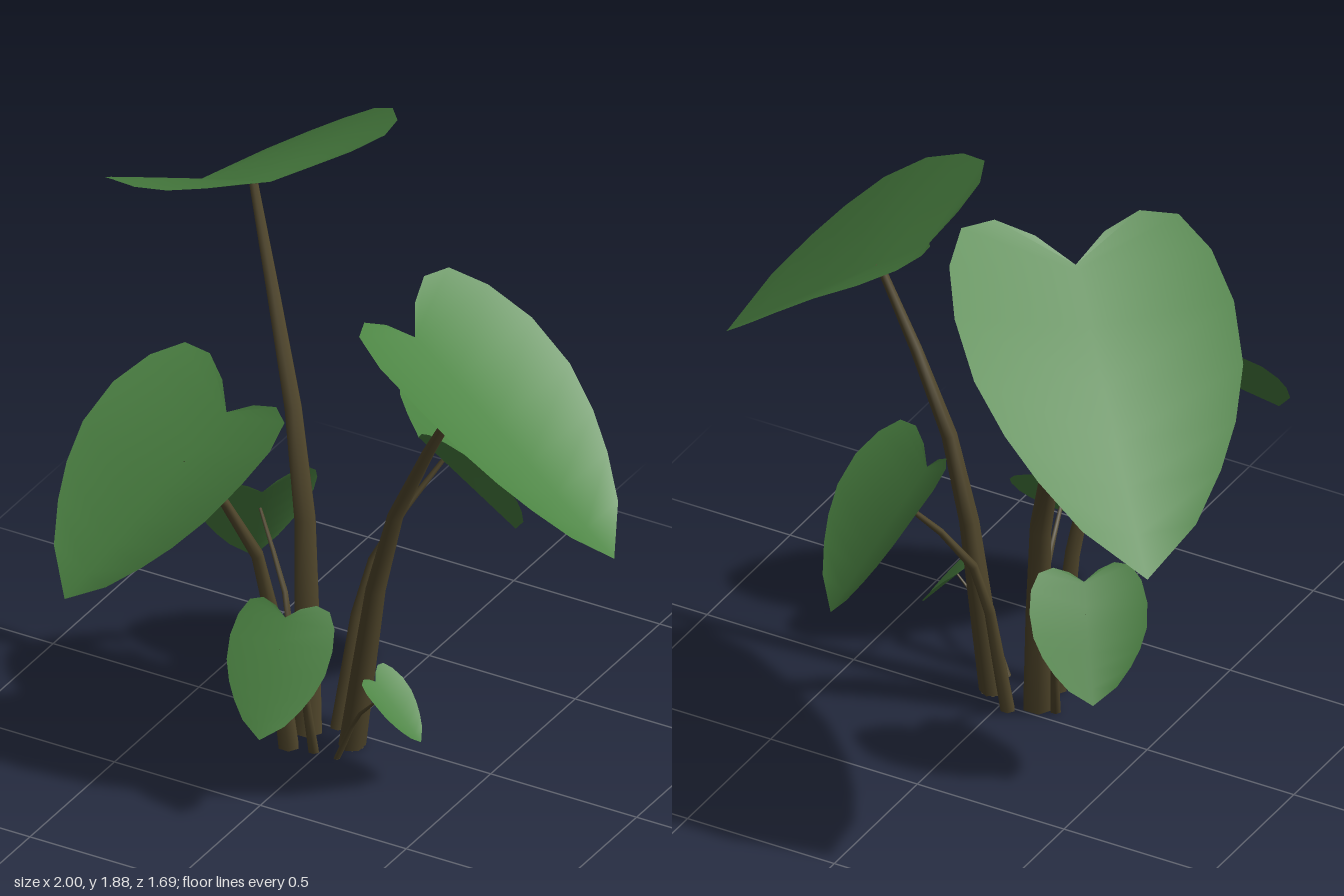
import * as THREE from 'three';

// Half outline of a heart leaf as [across, along]: notch at along 0, tip at 1
const HALF = [
  [0, 0], [0.1, -0.09], [0.21, -0.14], [0.315, -0.11], [0.38, 0.02], [0.405, 0.2],
  [0.39, 0.4], [0.335, 0.57], [0.265, 0.71], [0.165, 0.86], [0, 1],
];
const ATTACH = 0.25; // where the stem meets the midrib
const DROOP = 0.28; // how far the back lobes sag

const vec = (p) => new THREE.Vector3(...p);

// Folded heart leaf: two halves joined along a shared midrib.
// fold lifts both halves, roll tilts the leaf about its midrib (degrees).
function leafGeometry(notch, axis, fold, roll, width) {
  const across = new THREE.Vector3(-axis.z, 0, axis.x).normalize();
  const normal = across.clone().cross(axis).normalize();
  const size = axis.length();
  const rib = (v) => notch.clone().addScaledVector(axis, v);
  const positions = [];
  const index = [];
  const n = HALF.length;

  // Midrib row
  HALF.forEach(([, v]) => positions.push(...rib(Math.max(0, v)).toArray()));

  // Outline row of each half, skinned to the midrib
  for (const side of [1, -1]) {
    const slope = Math.tan(THREE.MathUtils.degToRad(fold + side * roll));
    const start = positions.length / 3;
    HALF.forEach(([u, v]) => {
      const lift = slope - DROOP * Math.max(0, ATTACH - v);
      const p = rib(v)
        .addScaledVector(across, side * u * size * width)
        .addScaledVector(normal, lift * u * size * width);
      positions.push(...p.toArray());
    });
    for (let i = 0; i < n - 1; i++) {
      const p = i, q = i + 1, s = start + i, t = start + i + 1;
      const tris = [];
      if (HALF[i + 1][1] > 0) tris.push([p, s, q]);
      if (i < n - 2) tris.push([q, s, t]);
      tris.forEach(([x, y, z]) => index.push(...(side > 0 ? [x, y, z] : [x, z, y])));
    }
  }

  const geo = new THREE.BufferGeometry();
  geo.setAttribute('position', new THREE.Float32BufferAttribute(positions, 3));
  geo.setIndex(index);
  geo.computeVertexNormals();
  return geo;
}

// Tapered six-sided stem that stands flat on the ground
function stemGeometry(points, radius) {
  const curve = new THREE.CatmullRomCurve3(points);
  const rings = 5;
  const sides = 6;
  const geo = new THREE.TubeGeometry(curve, rings, radius, sides, false);
  const pos = geo.attributes.position;
  const p = new THREE.Vector3();
  for (let i = 0; i <= rings; i++) {
    const centre = curve.getPointAt(i / rings);
    const taper = THREE.MathUtils.lerp(1, 0.3, i / rings);
    for (let j = 0; j <= sides; j++) {
      const k = i * (sides + 1) + j;
      p.fromBufferAttribute(pos, k).sub(centre).multiplyScalar(taper).add(centre);
      pos.setXYZ(k, p.x, i === 0 ? 0 : p.y, p.z);
    }
  }
  return geo;
}

export function createModel() {
  const model = new THREE.Group();
  model.name = 'leafyPlant';

  const leafGreen = new THREE.MeshStandardMaterial({ color: 0x4c8443, side: THREE.DoubleSide });
  leafGreen.name = 'leafGreen';
  const stemBrown = new THREE.MeshStandardMaterial({ color: 0x50462b, side: THREE.DoubleSide });
  stemBrown.name = 'stemBrown';

  // One leaf on its stem: stem thickness follows the leaf length
  function addShoot(name, { notch, tip, fold, roll, width = 1, base, bend }) {
    const shoot = new THREE.Group();
    shoot.name = name + 'Shoot';
    const start = vec(notch);
    const axis = vec(tip).sub(start);
    const radius = 0.047 * axis.length();
    const foot = new THREE.Vector3(base[0], 0, base[1]);
    const top = start.clone().addScaledVector(axis, ATTACH);

    const leaf = new THREE.Mesh(leafGeometry(start, axis, fold, roll, width), leafGreen);
    leaf.name = name + 'Leaf';

    const stem = new THREE.Mesh(stemGeometry([foot, vec(bend), top], radius), stemBrown);
    stem.name = name + 'Stem';

    // Closed underside of the stem
    const cap = new THREE.Mesh(new THREE.CircleGeometry(radius * 0.95, 6), stemBrown);
    cap.name = name + 'StemFoot';
    cap.rotation.x = Math.PI / 2;
    cap.position.copy(foot);

    shoot.add(leaf, stem, cap);
    model.add(shoot);
  }

  addShoot('backLeftLarge', {
    notch: [-0.33, 1.73, -0.13], tip: [-0.96, 1.2, -0.81], fold: 15, roll: 7,
    base: [-0.1, 0.05], bend: [-0.17, 0.8, -0.04],
  });
  addShoot('rightLarge', {
    notch: [0.29, 1.49, 0.085], tip: [0.99, 0.95, 0.115], fold: 17.5, roll: 7, width: 1.02,
    base: [0.06, 0.06], bend: [0.2, 0.8, 0.07],
  });
  addShoot('frontLeftMedium', {
    notch: [-0.22, 1.2, 0.32], tip: [-0.48, 0.74, 0.83], fold: 18, roll: 8, width: 1.02,
    base: [-0.1, 0.16], bend: [-0.16, 0.7, 0.25],
  });
  addShoot('backRightMedium', {
    notch: [0.12, 0.93, -0.23], tip: [0.29, 0.52, -0.51], fold: 25, roll: -6, width: 1.02,
    base: [-0.03, -0.01], bend: [0.03, 0.54, -0.11],
  });
  addShoot('backLeftSmall', {
    notch: [-0.37, 0.635, -0.15], tip: [-0.48, 0.31, -0.29], fold: 18, roll: 7, width: 1.2,
    base: [-0.16, 0.05], bend: [-0.215, 0.32, -0.04],
  });
  addShoot('frontSmall', {
    notch: [0.01, 0.585, 0.37], tip: [0.06, 0.3, 0.61], fold: -5, roll: 0, width: 1.05,
    base: [-0.02, 0.15], bend: [-0.02, 0.34, 0.24],
  });
  addShoot('rightTiny', {
    notch: [0.21, 0.325, 0.18], tip: [0.36, 0.155, 0.17], fold: 12, roll: 0,
    base: [0.06, 0.15], bend: [0.15, 0.19, 0.165],
  });

  return model;
}
